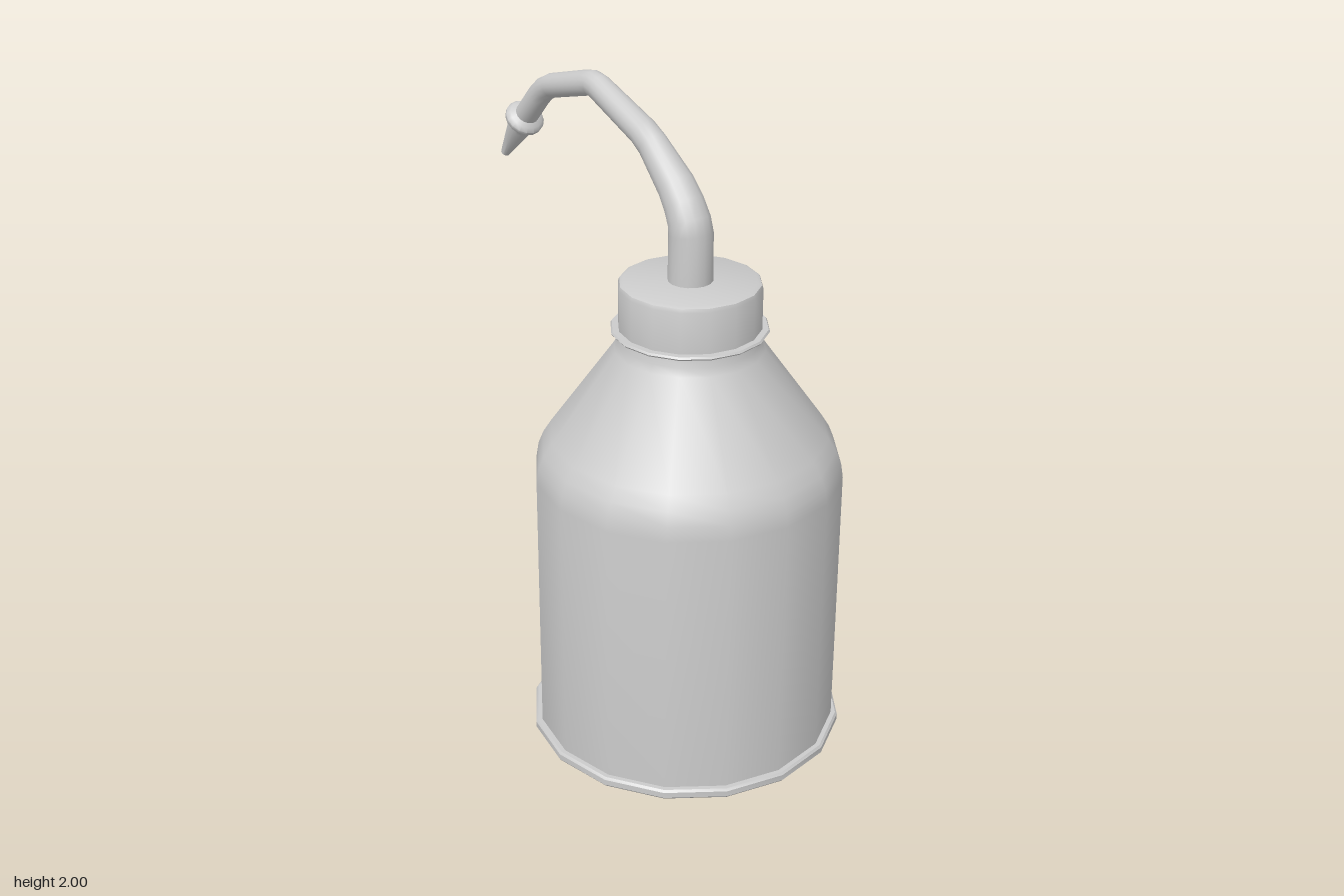
import * as THREE from 'three';
import { toCreasedNormals } from 'three/addons/utils/BufferGeometryUtils.js';

const material = new THREE.MeshStandardMaterial({ color: 0xcccccc });

// Turned part from [radius, height] pairs, listed from bottom to top
function turned(name, profile, sides, crease = 0.6) {
  const points = profile.map(([r, y]) => new THREE.Vector2(r, y));
  const mesh = new THREE.Mesh(toCreasedNormals(new THREE.LatheGeometry(points, sides), crease), material);
  mesh.name = name;
  return mesh;
}

// Tapered tube in the XY plane through [x, y, radius] stations
function taperedTube(name, stations, sides) {
  const positions = [], indices = [];
  const centres = stations.map(([x, y]) => new THREE.Vector3(x, y, 0));
  const last = stations.length - 1;
  stations.forEach(([x, y, r], i) => {
    const dir = centres[Math.min(i + 1, last)].clone().sub(centres[i]).normalize()
      .add(centres[i].clone().sub(centres[Math.max(i - 1, 0)]).normalize()).normalize();
    for (let j = 0; j < sides; j++) {
      const a = (j / sides) * Math.PI * 2;
      positions.push(x + dir.y * r * Math.cos(a), y - dir.x * r * Math.cos(a), r * Math.sin(a));
      if (i === last) continue;
      const k = i * sides + j, n = i * sides + (j + 1) % sides;
      indices.push(k, k + sides, n, n, k + sides, n + sides);
    }
  });
  const geometry = new THREE.BufferGeometry();
  geometry.setAttribute('position', new THREE.Float32BufferAttribute(positions, 3));
  geometry.setIndex(indices);
  geometry.computeVertexNormals();
  const mesh = new THREE.Mesh(geometry, material);
  mesh.name = name;
  return mesh;
}

export function createModel() {
  const model = new THREE.Group();
  model.name = 'squeezeBottle';

  // Bottle, cap and collar share one upright axis
  const bottle = new THREE.Group();
  bottle.name = 'bottle';
  bottle.position.x = 0.25;
  model.add(bottle);

  bottle.add(turned('body', [
    [0.468, 0.02], [0.468, 0.88], [0.461, 0.925], [0.445, 0.965], [0.42, 1.005],
    [0.225, 1.28], [0.213, 1.305], [0.208, 1.35],
  ], 16));

  // Foot rim with a slightly recessed underside
  bottle.add(turned('footRim', [
    [0, 0.012], [0.462, 0.012], [0.468, 0], [0.483, 0], [0.488, 0.006],
    [0.488, 0.024], [0.482, 0.031], [0.462, 0.031],
  ], 16));

  bottle.add(turned('collar', [
    [0.2, 1.337], [0.232, 1.337], [0.236, 1.342], [0.232, 1.348], [0.2, 1.348],
  ], 16));

  bottle.add(turned('cap', [
    [0.2, 1.345], [0.213, 1.345], [0.213, 1.475], [0.209, 1.486], [0.198, 1.491], [0, 1.491],
  ], 16));

  // Bent spout, thinner towards the tip
  model.add(taperedTube('spout', [
    [0.25, 1.47, 0.067], [0.25, 1.635, 0.066], [0.241, 1.67, 0.064], [0.216, 1.712, 0.061],
    [0.178, 1.758, 0.057], [0.065, 1.85, 0.046], [0.02, 1.876, 0.044], [-0.2, 1.955, 0.04],
    [-0.23, 1.961, 0.039], [-0.26, 1.955, 0.039], [-0.45, 1.9, 0.038], [-0.49, 1.88, 0.038],
    [-0.525, 1.85, 0.038], [-0.605, 1.763, 0.038],
  ], 16));

  // Flanged nozzle, turned upright and then aimed along the spout's end
  const nozzleLength = 0.213;
  const nozzle = turned('nozzle', [
    [0, 0], [0.015, 0], [0.03, 0.083], [0.041, 0.145], [0.043, 0.162], [0.052, 0.168],
    [0.062, 0.18], [0.063, 0.192], [0.053, 0.205], [0.036, nozzleLength],
  ], 16, 0.8);
  const start = new THREE.Vector3(-0.595, 1.775, 0);
  const tip = new THREE.Vector3(-0.73, 1.61, 0);
  nozzle.position.copy(tip);
  nozzle.quaternion.setFromUnitVectors(new THREE.Vector3(0, 1, 0), start.sub(tip).normalize());
  model.add(nozzle);

  return model;
}
